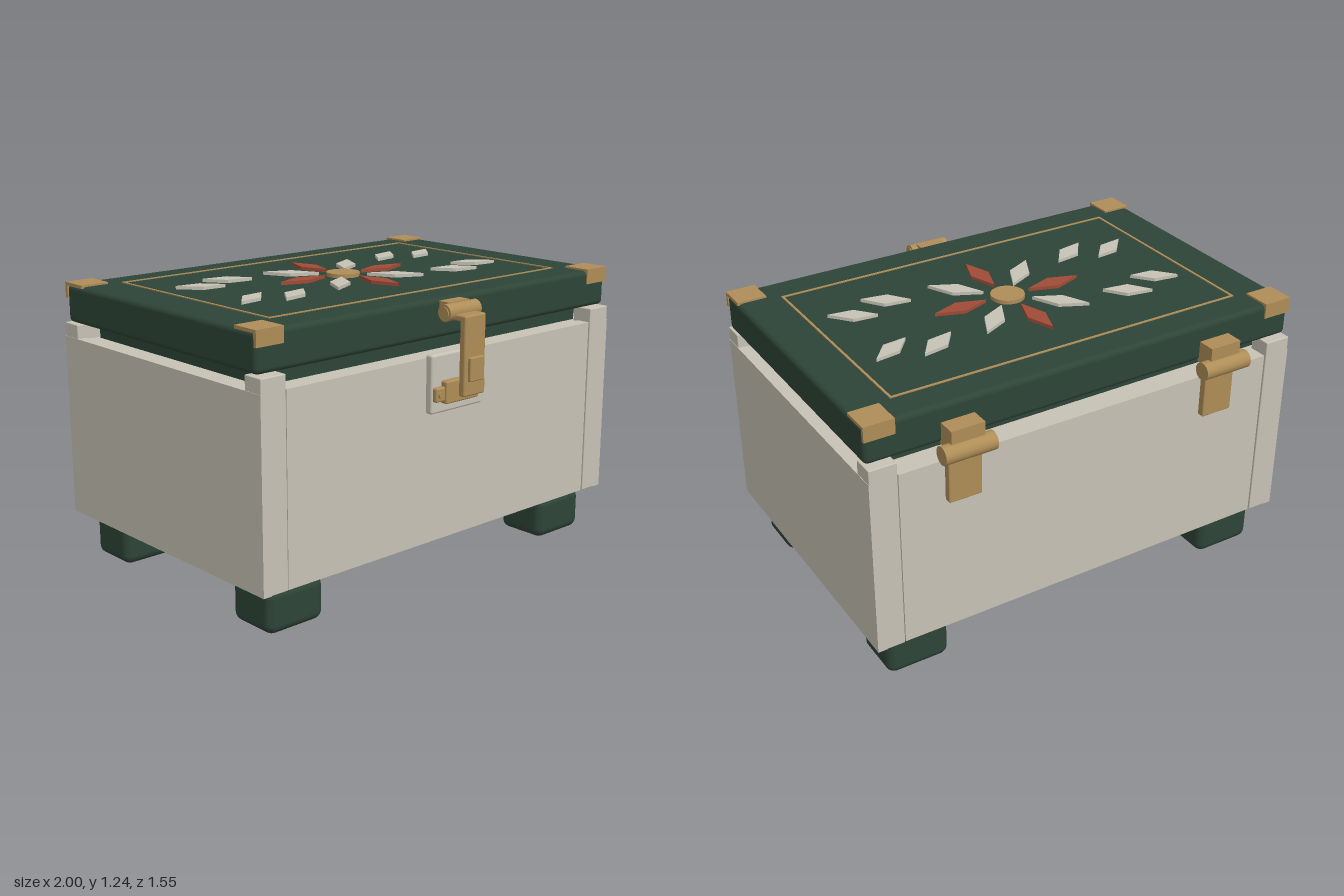
import * as THREE from 'three';
import { RoundedBoxGeometry } from 'three/addons/geometries/RoundedBoxGeometry.js';

const material = (name, color) => {
  const m = new THREE.MeshStandardMaterial({ color });
  m.name = name;
  return m;
};

export function createModel() {
  const green = material('darkGreen', 0x2e4437);
  const cream = material('cream', 0xc6c2b5);
  const brass = material('brass', 0xae8d57);
  const red = material('red', 0xa04b36);

  const chest = new THREE.Group();
  chest.name = 'chest';
  const midZ = -0.025;

  const add = (name, geometry, mat, x = 0, y = 0, z = 0) => {
    const mesh = new THREE.Mesh(geometry, mat);
    mesh.name = name;
    mesh.position.set(x, y, z);
    chest.add(mesh);
    return mesh;
  };
  // Box given by its extents; a radius rounds the edges
  const box = (name, mat, [x0, x1], [y0, y1], [z0, z1], radius = 0) => {
    const size = [x1 - x0, y1 - y0, z1 - z0];
    const geometry = radius
      ? new RoundedBoxGeometry(...size, 3, radius)
      : new THREE.BoxGeometry(...size);
    return add(name, geometry, mat, (x0 + x1) / 2, (y0 + y1) / 2, (z0 + z1) / 2);
  };
  const barrel = (name, x, y, z, radius, length) => {
    const mesh = add(name, new THREE.CylinderGeometry(radius, radius, length, 24), brass, x, y, z);
    mesh.rotation.z = Math.PI / 2;
    return mesh;
  };
  const span = (s, a, b) => (s > 0 ? [a, b] : [-b, -a]);
  const spanZ = (s, a, b) => span(s, a, b).map((v) => v + midZ);

  // Body: core, side panels, front and back panels, corner posts
  box('bodyCore', cream, [-0.985, 0.985], [0.202, 0.985], [-0.675, 0.625]);
  for (const s of [-1, 1]) {
    box('sidePanel', cream, span(s, 0.96, 1), [0.2, 0.99], [-0.69, 0.64]);
    box('facePanel', cream, [-0.875, 0.875], [0.2, 0.99], spanZ(s, 0.6, 0.66));
    for (const t of [-1, 1]) {
      box('cornerPost', cream, span(s, 0.88, 0.998), [0.2, 1.05], spanZ(t, 0.57, 0.665), 0.004);
      box('foot', green, span(s, 0.65, 0.93), [0, 0.188], spanZ(t, 0.37, 0.612), 0.04);
    }
  }
  box('base', green, [-0.92, 0.92], [0.175, 0.21], [-0.595, 0.545], 0.008);
  box('neck', green, [-0.9, 0.9], [0.97, 1.07], [-0.575, 0.527]);

  // Lid with brass corner plates
  box('lid', green, [-0.998, 0.998], [1.055, 1.218], [-0.663, 0.615], 0.022);
  for (const s of [-1, 1]) {
    for (const t of [-1, 1]) {
      box('cornerTop', brass, span(s, 0.87, 1), [1.212, 1.226], spanZ(t, 0.518, 0.645));
      box('cornerFace', brass, span(s, 0.87, 1), [1.16, 1.226], spanZ(t, 0.63, 0.645));
    }
  }

  // Thin brass border on the lid
  const inlayZ = -0.03;
  for (const s of [-1, 1]) {
    box('borderLong', brass, [-0.815, 0.815], [1.215, 1.222],
      span(s, 0.485, 0.495).map((v) => v + inlayZ));
    box('borderShort', brass, span(s, 0.805, 0.815), [1.215, 1.222],
      [inlayZ - 0.485, inlayZ + 0.485]);
  }

  // Inlaid rosette and diamonds: flat outlines in x and z
  const inlay = (name, mat, points) => {
    const shape = new THREE.Shape(points.map(([x, z]) => new THREE.Vector2(x, -z)));
    const geometry = new THREE.ExtrudeGeometry(shape, { depth: 0.016, bevelEnabled: false });
    geometry.rotateX(-Math.PI / 2);
    return add(name, geometry, mat, 0, 1.216, inlayZ);
  };
  for (let i = 0; i < 8; i++) {
    const petal = inlay('petal', i % 2 ? cream : red,
      [[0.105, 0], [0.228, 0.043], [0.35, 0], [0.228, -0.043]]);
    petal.rotation.y = (i * Math.PI) / 4;
  }
  const diamonds = [
    [[0.73, 0.22], [0.62, 0.205], [0.55, 0.12], [0.655, 0.13]],
    [[0.55, 0.28], [0.435, 0.26], [0.37, 0.17], [0.485, 0.187]],
  ];
  for (const s of [-1, 1]) {
    for (const t of [-1, 1]) {
      for (const points of diamonds) {
        inlay('diamond', cream, points.map(([x, z]) => [s * x, t * z]));
      }
    }
  }
  add('rosetteCentre', new THREE.CylinderGeometry(0.073, 0.073, 0.02, 32), brass, 0, 1.225, inlayZ);

  // Front latch
  box('latchPlate', cream, [-0.15, 0.15], [0.76, 1.005], [0.63, 0.668], 0.01);
  box('catchBlock', brass, [-0.095, 0.095], [0.8, 0.895], [0.66, 0.698], 0.008);
  box('catchBar', brass, [-0.143, 0.143], [0.812, 0.872], [0.66, 0.688], 0.008);
  for (const s of [-1, 1]) {
    const rivet = add('rivet', new THREE.CylinderGeometry(0.014, 0.014, 0.01, 16), brass, s * 0.118, 0.842, 0.69);
    rivet.rotation.x = Math.PI / 2;
  }
  box('latchMount', brass, [-0.06, 0.06], [1.145, 1.208], [0.61, 0.665]);
  barrel('latchBarrel', 0, 1.17, 0.672, 0.035, 0.18);
  barrel('latchPin', 0, 1.17, 0.672, 0.025, 0.19);
  box('haspArm', brass, [-0.06, 0.06], [1.14, 1.166], [0.672, 0.758], 0.008);
  box('haspStrap', brass, [-0.06, 0.06], [0.835, 1.166], [0.728, 0.76], 0.008);
  box('haspGrip', brass, [-0.04, 0.04], [0.897, 0.997], [0.74, 0.775], 0.006);

  // Rear hinges
  for (const s of [-1, 1]) {
    const x = s * 0.607;
    const wide = [x - 0.073, x + 0.073];
    box('hingeTopLeaf', brass, wide, [1.05, 1.143], [-0.742, -0.655]);
    box('hingeLowerLeaf', brass, wide, [0.81, 1.05], [-0.717, -0.683], 0.006);
    barrel('hingeBarrel', x, 1.048, -0.735, 0.039, 0.224);
  }

  return chest;
}
